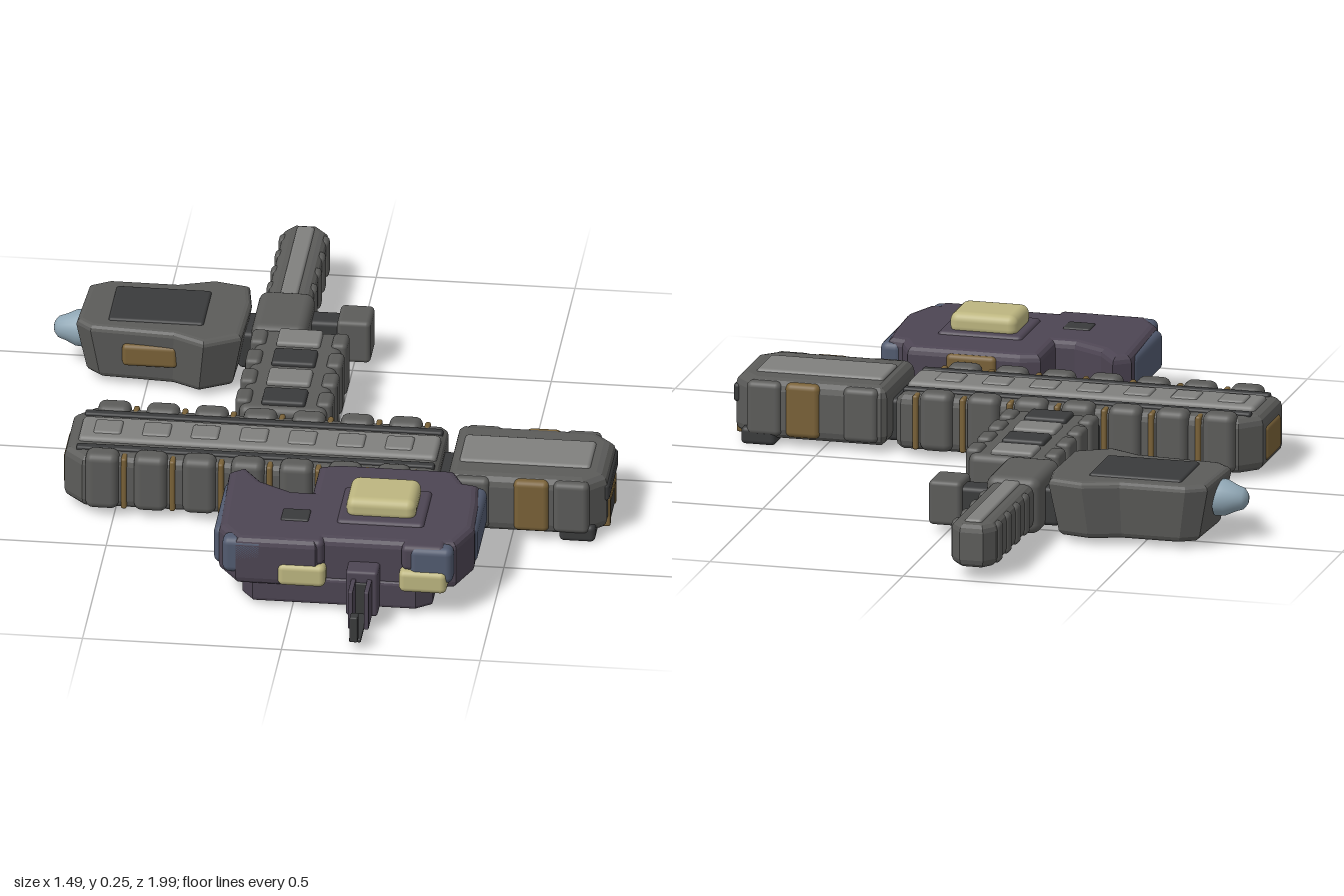
import * as THREE from 'three';
import { RoundedBoxGeometry } from 'three/addons/geometries/RoundedBoxGeometry.js';

const GREY = 0x5c5c5a, DARK = 0x3a3b3c, LIGHT = 0x80807e, OCHRE = 0x7a6238;
const PURPLE = 0x4d4553, CREAM = 0xbdb680, BLUE = 0x8fa6b4, SLATE = 0x525b70;

const mat = (color) => new THREE.MeshStandardMaterial({ color, roughness: 0.9 });

function add(parent, name, geometry, color) {
  const mesh = new THREE.Mesh(geometry, mat(color));
  mesh.name = name;
  parent.add(mesh);
  return mesh;
}

// Rounded box given by its extents on each axis
function block(parent, name, [x0, x1], [y0, y1], [z0, z1], color, r = 0.012) {
  const s = [x1 - x0, y1 - y0, z1 - z0];
  const g = new RoundedBoxGeometry(...s, 3, Math.min(r, Math.min(...s) * 0.45));
  g.translate((x0 + x1) / 2, (y0 + y1) / 2, (z0 + z1) / 2);
  return add(parent, name, g, color);
}

// Floor plan of [x, z] points raised from y0 to y1 with rounded edges
function plan(parent, name, points, y0, y1, color, bevel = 0.015) {
  const shape = new THREE.Shape(points.map(([x, z]) => new THREE.Vector2(x, -z)));
  const g = new THREE.ExtrudeGeometry(shape, {
    depth: y1 - y0 - 2 * bevel, bevelThickness: bevel, bevelSize: bevel,
    bevelOffset: -bevel, bevelSegments: 3,
  });
  g.rotateX(-Math.PI / 2);
  g.translate(0, y0 + bevel, 0);
  return add(parent, name, g, color);
}

function group(parent, name) {
  const g = new THREE.Group();
  g.name = name;
  parent.add(g);
  return g;
}

// Rectangular plan with its corners cut, separately at each x end
function cutRect(x0, x1, z0, z1, cutLow, cutHigh) {
  return [
    [x0, z0 + cutLow], [x0 + cutLow, z0], [x1 - cutHigh, z0], [x1, z0 + cutHigh],
    [x1, z1 - cutHigh], [x1 - cutHigh, z1], [x0 + cutLow, z1], [x0, z1 - cutLow],
  ];
}

function mainHall(root) {
  const hall = group(root, 'mainHall');
  plan(hall, 'hallBody', cutRect(-0.63, 0.31, 0.055, 0.335, 0.05, 0.015), 0.02, 0.165, GREY, 0.025);
  block(hall, 'roofSpine', [-0.6, 0.3], [0.14, 0.177], [0.135, 0.255], LIGHT);
  for (const z of [0.105, 0.285]) block(hall, 'roofRail', [-0.6, 0.3], [0.15, 0.172], [z - 0.012, z + 0.012], DARK, 0.006);
  // Side bays and roof lights at an even spacing
  for (let i = 0; i < 7; i++) {
    const x = -0.53 + i * 0.122;
    for (const z of [0.067, 0.323]) {
      block(hall, 'sideBay', [x - 0.042, x + 0.042], [0.025, 0.178], [z - 0.03, z + 0.03], GREY, 0.02);
      block(hall, 'bayBand', [x + 0.047, x + 0.062], [0.025, 0.166], [z - 0.018, z + 0.018], OCHRE, 0.006);
    }
    block(hall, 'roofLight', [x - 0.035, x + 0.035], [0.165, 0.182], [0.16, 0.23], LIGHT, 0.008);
  }
  block(hall, 'endPanel', [-0.636, -0.61], [0.04, 0.13], [0.13, 0.26], OCHRE);
}

function eastHall(root) {
  const hall = group(root, 'eastHall');
  plan(hall, 'eastBody', cutRect(0.335, 0.735, 0.06, 0.345, 0.012, 0.05), 0.02, 0.175, GREY, 0.028);
  block(hall, 'joiningPassage', [0.29, 0.36], [0.02, 0.13], [0.13, 0.27], DARK);
  block(hall, 'roofStrip', [0.36, 0.69], [0.16, 0.182], [0.13, 0.27], LIGHT);
  for (const x of [0.4, 0.55, 0.65]) {
    for (const z of [0.07, 0.335]) {
      block(hall, 'eastBay', [x - 0.045, x + 0.045], [0.03, 0.17], [z - 0.018, z + 0.018], x === 0.55 ? OCHRE : GREY, 0.015);
    }
  }
  for (const z of [0.09, 0.31]) block(hall, 'endFoot', [0.62, 0.71], [0.005, 0.05], [z - 0.035, z + 0.035], DARK);
  // End wall with window and framed door
  block(hall, 'endWindow', [0.72, 0.741], [0.1, 0.148], [0.1, 0.3], DARK, 0.01);
  for (const z of [0.14, 0.26]) block(hall, 'doorPost', [0.71, 0.74], [0.015, 0.095], [z - 0.012, z + 0.012], OCHRE, 0.005);
  block(hall, 'doorLintel', [0.71, 0.74], [0.075, 0.098], [0.13, 0.27], OCHRE, 0.005);
  block(hall, 'door', [0.72, 0.737], [0.015, 0.08], [0.15, 0.25], DARK, 0.004);
}

function purpleRoom(root) {
  const room = group(root, 'purpleRoom');
  plan(room, 'lowerRoom', [
    [-0.13, 0.5], [0.03, 0.52], [0.04, 0.38], [0.33, 0.38],
    [0.35, 0.45], [0.35, 0.74], [0.31, 0.77], [-0.1, 0.77], [-0.13, 0.73],
  ], 0.015, 0.09, PURPLE, 0.01);
  plan(room, 'upperRoom', [
    [-0.2, 0.43], [-0.16, 0.4], [-0.11, 0.47], [-0.03, 0.515], [0.02, 0.515], [0.02, 0.375],
    [0.07, 0.36], [0.36, 0.36], [0.39, 0.42], [0.43, 0.43], [0.44, 0.52], [0.445, 0.66],
    [0.41, 0.75], [0.35, 0.765], [0.08, 0.765], [0.06, 0.79], [-0.14, 0.79], [-0.19, 0.72],
  ], 0.07, 0.2, PURPLE, 0.02);
  // Bays at the two ends and lit front windows
  block(room, 'westBay', [-0.205, -0.16], [0.085, 0.19], [0.46, 0.72], SLATE, 0.02);
  block(room, 'eastBay', [0.39, 0.45], [0.085, 0.19], [0.42, 0.65], SLATE, 0.02);
  for (const x of [-0.12, 0.35]) block(room, 'frontBay', [x - 0.055, x + 0.055], [0.1, 0.197], [0.74, 0.79], SLATE, 0.018);
  for (const x of [0.025, 0.33]) {
    block(room, 'frontWindow', [x - 0.06, x + 0.06], [0.075, 0.135], [0.73, 0.798], CREAM, 0.015);
    block(room, 'windowHood', [x - 0.055, x + 0.055], [0.13, 0.2], [0.72, 0.785], PURPLE, 0.015);
  }
  block(room, 'backWindow', [0.13, 0.26], [0.1, 0.19], [0.352, 0.4], OCHRE);
  block(room, 'roofPlinth', [0.1, 0.32], [0.18, 0.208], [0.49, 0.68], PURPLE);
  block(room, 'skylight', [0.12, 0.295], [0.195, 0.252], [0.51, 0.65], CREAM, 0.022);
  block(room, 'roofHatch', [-0.04, 0.03], [0.19, 0.204], [0.62, 0.68], DARK, 0.005);
  // Front entry: door box with a thin, narrowing porch
  block(room, 'entry', [0.14, 0.22], [0.015, 0.14], [0.74, 0.82], PURPLE, 0.008);
  block(room, 'entryDoor', [0.155, 0.205], [0.02, 0.11], [0.8, 0.824], DARK, 0.004);
  for (const x of [0.16, 0.2]) block(room, 'porchWall', [x - 0.006, x + 0.006], [0.015, 0.12], [0.81, 0.89], PURPLE, 0.003);
  block(room, 'porchFloor', [0.165, 0.195], [0.015, 0.025], [0.81, 0.96], DARK, 0.003);
  block(room, 'porchEnd', [0.17, 0.19], [0.03, 0.1], [0.96, 0.99], DARK, 0.004);
}

function corridors(root) {
  const wing = group(root, 'corridorWing');
  block(wing, 'wideCorridor', [-0.225, -0.005], [0.02, 0.16], [-0.41, 0.02], GREY, 0.02);
  block(wing, 'hallJoint', [-0.22, -0.12], [0.03, 0.13], [0, 0.07], DARK);
  for (let i = 0; i < 4; i++) {
    const z = -0.355 + i * 0.105;
    for (const x of [-0.217, -0.013]) block(wing, 'wallRib', [x - 0.02, x + 0.02], [0.025, 0.17], [z - 0.035, z + 0.035], GREY);
    block(wing, 'roofPanel', [-0.17, -0.06], [0.15, 0.172], [z - 0.04, z + 0.04], i % 2 ? DARK : LIGHT, 0.008);
  }
  block(wing, 'crossing', [-0.245, -0.105], [0.02, 0.165], [-0.61, -0.4], GREY, 0.025);
  plan(wing, 'longCorridor', [
    [-0.23, -0.96], [-0.205, -0.995], [-0.145, -0.995], [-0.115, -0.96], [-0.115, -0.58], [-0.23, -0.58],
  ], 0.035, 0.15, GREY, 0.022);
  for (let i = 0; i < 5; i++) {
    const z = -0.93 + i * 0.085;
    block(wing, 'corridorRib', [-0.236, -0.109], [0.04, 0.145], [z - 0.02, z + 0.02], GREY);
  }
  block(wing, 'corridorRoof', [-0.195, -0.15], [0.13, 0.157], [-0.97, -0.43], LIGHT, 0.008);
  block(wing, 'sideNook', [-0.04, 0.045], [0.025, 0.14], [-0.6, -0.5], GREY, 0.012);
  block(wing, 'nookPassage', [-0.13, -0.02], [0.03, 0.125], [-0.585, -0.52], DARK);
}

function greyRoom(root) {
  const room = group(root, 'greyRoom');
  const outline = [
    [-0.67, -0.57], [-0.62, -0.6], [-0.45, -0.6], [-0.36, -0.63], [-0.27, -0.61], [-0.255, -0.52],
    [-0.26, -0.34], [-0.35, -0.29], [-0.43, -0.33], [-0.64, -0.345], [-0.68, -0.38],
  ];
  const body = plan(room, 'roomBody', outline, 0.02, 0.172, GREY, 0.015);
  // Walls lean in towards the floor
  const p = body.geometry.attributes.position;
  for (let i = 0; i < p.count; i++) {
    const k = 0.86 + 0.14 * Math.min(1, (p.getY(i) - 0.02) / 0.08);
    p.setX(i, -0.46 + (p.getX(i) + 0.46) * k);
    p.setZ(i, -0.46 + (p.getZ(i) + 0.46) * k);
  }
  body.geometry.computeVertexNormals();
  block(room, 'roofPatch', [-0.6, -0.36], [0.16, 0.178], [-0.56, -0.38], DARK, 0.008);
  block(room, 'frontPanel', [-0.56, -0.42], [0.07, 0.13], [-0.36, -0.33], OCHRE);
  block(room, 'roomDoorway', [-0.28, -0.22], [0.03, 0.13], [-0.55, -0.43], DARK);
  // Pale rounded nose on the outer wall
  const profile = [[0.048, 0], [0.046, 0.025], [0.034, 0.05], [0.027, 0.07], [0.014, 0.08], [0, 0.083]];
  const nose = add(room, 'nose', new THREE.LatheGeometry(profile.map(([r, y]) => new THREE.Vector2(r, y)), 20), BLUE);
  nose.rotation.z = Math.PI / 2;
  nose.position.set(-0.662, 0.11, -0.45);
}

export function createModel() {
  const root = new THREE.Group();
  root.name = 'stationComplex';
  mainHall(root);
  eastHall(root);
  purpleRoom(root);
  corridors(root);
  greyRoom(root);
  return root;
}
